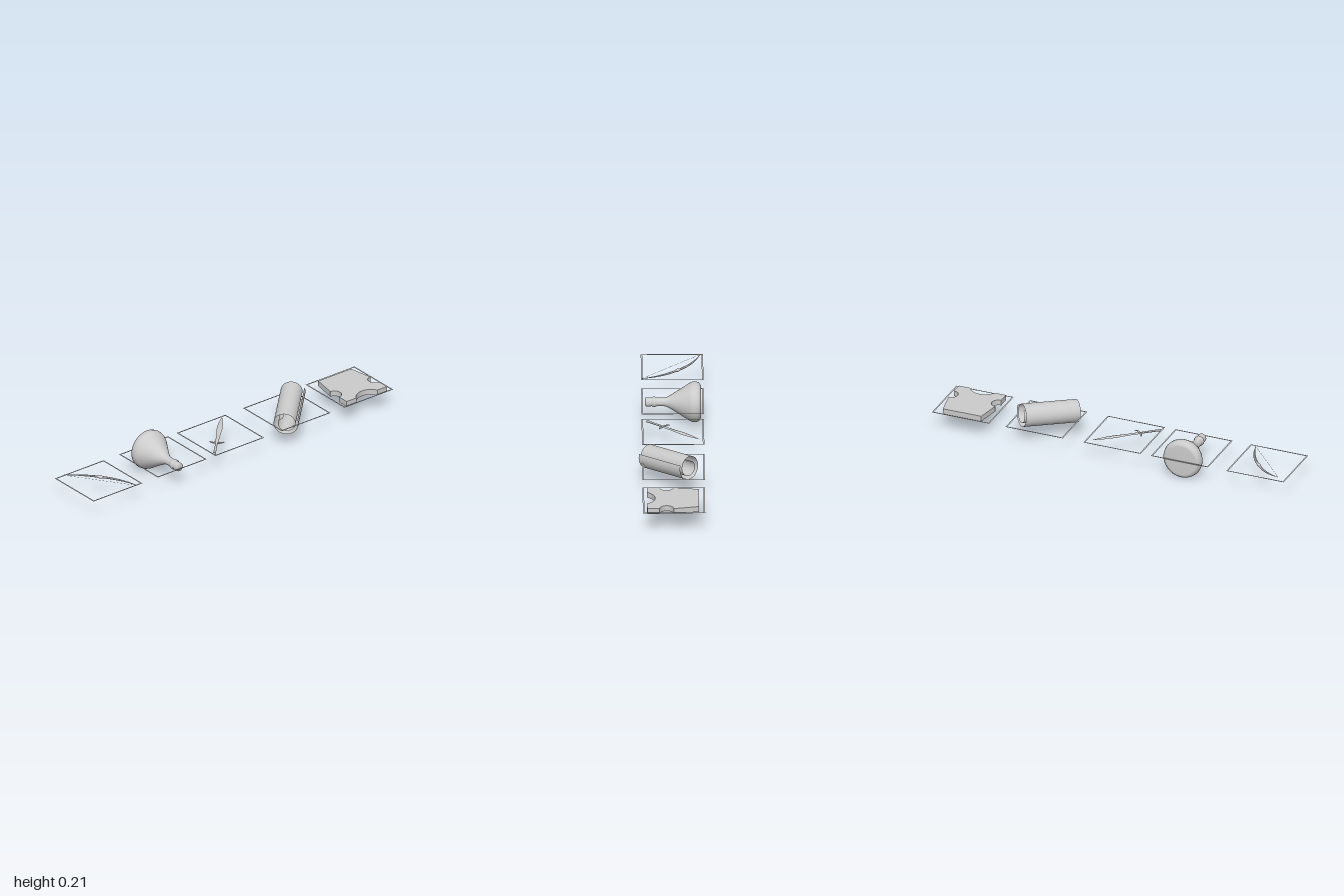
import * as THREE from 'three';

const grey = new THREE.MeshStandardMaterial({ color: 0xcccccc });
const greyThin = new THREE.MeshStandardMaterial({ color: 0xcccccc, side: THREE.DoubleSide });
const greyFlat = new THREE.MeshStandardMaterial({ color: 0xcccccc, flatShading: true });

const MID = 0.11; // height of the slots' plane
const V = (x, y, z) => new THREE.Vector3(x, y, z);

function part(parent, name, geometry, material = grey) {
  const mesh = new THREE.Mesh(geometry, material);
  mesh.name = name;
  parent.add(mesh);
  return mesh;
}

function group(parent, name) {
  const g = new THREE.Group();
  g.name = name;
  parent.add(g);
  return g;
}

// Places a group halfway between two points, its +z pointing from a to b
function aim(g, a, b) {
  g.position.addVectors(a, b).multiplyScalar(0.5);
  g.lookAt(b);
  return a.distanceTo(b);
}

// Tube whose radius follows a rule along the path, flattened in y
function taperedTube(points, radiusAt, flatY = 1, steps = 48, sides = 8) {
  const curve = new THREE.CatmullRomCurve3(points);
  const geo = new THREE.TubeGeometry(curve, steps, 1, sides);
  const pos = geo.attributes.position, p = V(0, 0, 0);
  for (let i = 0; i <= steps; i++) {
    const c = curve.getPointAt(i / steps), r = radiusAt(i / steps);
    for (let j = 0; j <= sides; j++) {
      const k = i * (sides + 1) + j;
      p.fromBufferAttribute(pos, k).sub(c).multiplyScalar(r);
      pos.setXYZ(k, c.x + p.x, c.y + p.y * flatY, c.z + p.z);
    }
  }
  geo.computeVertexNormals();
  return geo;
}

// Flat square outline around each item
function slotFrame(parent, z) {
  const square = (C, h) => new C([[-h, -h], [h, -h], [h, h], [-h, h]].map(([a, b]) => new THREE.Vector2(a, b)));
  const shape = square(THREE.Shape, 0.163);
  shape.holes.push(square(THREE.Path, 0.155));
  const mesh = part(parent, 'slotFrame', new THREE.ShapeGeometry(shape).rotateX(-Math.PI / 2), greyThin);
  mesh.position.set(-0.01, MID, z);
}

// Chest armour: slab with two arm notches and a neck notch
function buildArmour(parent) {
  const s = new THREE.Shape();
  const neck = Math.atan2(0.07, -0.0365);
  s.moveTo(-0.141, -0.109);
  s.lineTo(-0.009, -0.132);
  s.absarc(0.028, -0.134, 0.037, Math.PI, 0, true);
  s.lineTo(0.13, -0.134);
  s.lineTo(0.13, -0.07);
  s.absarc(0.1665, 0, 0.079, -neck, neck - Math.PI * 2 + Math.PI * 2, true);
  s.lineTo(0.13, 0.134);
  s.lineTo(0.065, 0.134);
  s.absarc(0.028, 0.134, 0.037, 0, -Math.PI, true);
  s.lineTo(-0.141, 0.109);
  s.closePath();
  const geo = new THREE.ExtrudeGeometry(s, { depth: 0.03, bevelEnabled: false, curveSegments: 16 });
  geo.rotateX(-Math.PI / 2);
  part(parent, 'chestArmour', geo).position.set(0, 0.096, -0.842);
}

// Scroll: a sheet wound into a spiral with a loose outer flap
function buildScroll(parent) {
  const g = group(parent, 'scroll');
  const length = aim(g, V(-0.093, 0.157, -0.523), V(0.122, 0.126, -0.305));
  const geo = new THREE.PlaneGeometry(1, length, 64, 1);
  const pos = geo.attributes.position;
  for (let i = 0; i < pos.count; i++) {
    const t = pos.getX(i) + 0.5;
    const angle = 0.4 - t * Math.PI * 2 * 1.75;
    const r = 0.069 - 0.012 * t - 0.024 * t * t;
    pos.setXYZ(i, r * Math.cos(angle), r * Math.sin(angle), pos.getY(i));
  }
  geo.computeVertexNormals();
  part(g, 'rolledSheet', geo, greyThin);
}

// Sword lying flat, tip towards the back left corner of its slot
function buildSword(parent) {
  const g = group(parent, 'sword');
  const half = aim(g, V(0.127, 0.104, 0.174), V(-0.151, 0.122, -0.099)) / 2;
  const guardZ = -half + 0.12;
  const profile = [[0, guardZ], [0.011, guardZ], [0.009, guardZ + 0.05], [0.015, guardZ + 0.14],
    [0.012, guardZ + 0.2], [0, half]].map(([r, y]) => new THREE.Vector2(r, y));
  const blade = new THREE.LatheGeometry(profile, 4).scale(1, 1, 0.28).rotateX(Math.PI / 2);
  part(g, 'blade', blade, greyFlat);
  const grip = new THREE.CylinderGeometry(0.006, 0.007, 0.105, 10).scale(1, 1, 0.7).rotateX(Math.PI / 2);
  part(g, 'grip', grip).position.z = guardZ - 0.052;
  const pommel = part(g, 'pommel', new THREE.SphereGeometry(0.01, 12, 8).scale(1, 0.5, 1));
  pommel.position.z = -half + 0.01;
  const guard = [[-0.038, 0.012], [-0.028, 0.002], [0, 0], [0.028, 0.002], [0.038, 0.012]]
    .map(([x, z]) => V(x, 0, guardZ + z));
  part(g, 'guard', taperedTube(guard, t => 0.002 + 0.004 * Math.sin(Math.PI * t), 0.8, 20));
}

// Flask lying on its side, neck towards +x
function buildFlask(parent) {
  const g = group(parent, 'flask');
  g.position.set(0, 0.107, 0.408);
  const body = [[-0.158, 0], [-0.158, 0.083], [-0.154, 0.094], [-0.145, 0.103], [-0.128, 0.107], [-0.112, 0.105],
    [-0.098, 0.0985], [-0.06, 0.074], [0, 0.0365], [0.018, 0.027], [0.035, 0.0225], [0.07, 0.022],
    [0.078, 0.025], [0.084, 0.0275], [0.092, 0.0275], [0.097, 0.023], [0.1, 0.022],
    [0.105, 0.0235], [0.128, 0.0235], [0.134, 0.019], [0.134, 0]];
  const geo = new THREE.LatheGeometry(body.map(([y, r]) => new THREE.Vector2(r, y)), 40);
  part(g, 'bottle', geo.rotateZ(-Math.PI / 2));
}

// Bow with tapered limbs, a thicker grip and a thin straight string
function buildBow(parent) {
  const g = group(parent, 'bow');
  const path = [V(-0.157, 0.125, 0.962), V(-0.136, 0.119, 0.915), V(-0.1, 0.113, 0.861), V(-0.04, 0.109, 0.8),
    V(0.025, 0.107, 0.753), V(0.085, 0.106, 0.724), V(0.152, 0.105, 0.702)];
  part(g, 'limbs', taperedTube(path, t => 0.0012 + 0.0065 * Math.sin(Math.PI * t), 0.6));
  const grip = group(g, 'grip');
  aim(grip, V(-0.058, 0.11, 0.817), V(-0.022, 0.108, 0.786));
  part(grip, 'gripWrap', new THREE.SphereGeometry(0.009, 12, 10).scale(1, 0.85, 2.4));
  const string = group(g, 'string');
  const length = aim(string, path[0], path[path.length - 1]);
  part(string, 'bowstring', new THREE.CylinderGeometry(0.0006, 0.0006, length, 6).rotateX(Math.PI / 2));
}

export function createModel() {
  const model = new THREE.Group();
  model.name = 'itemSlots';
  for (const z of [-0.837, -0.419, 0.024, 0.408, 0.837]) slotFrame(model, z);
  buildArmour(model);
  buildScroll(model);
  buildSword(model);
  buildFlask(model);
  buildBow(model);
  return model;
}
